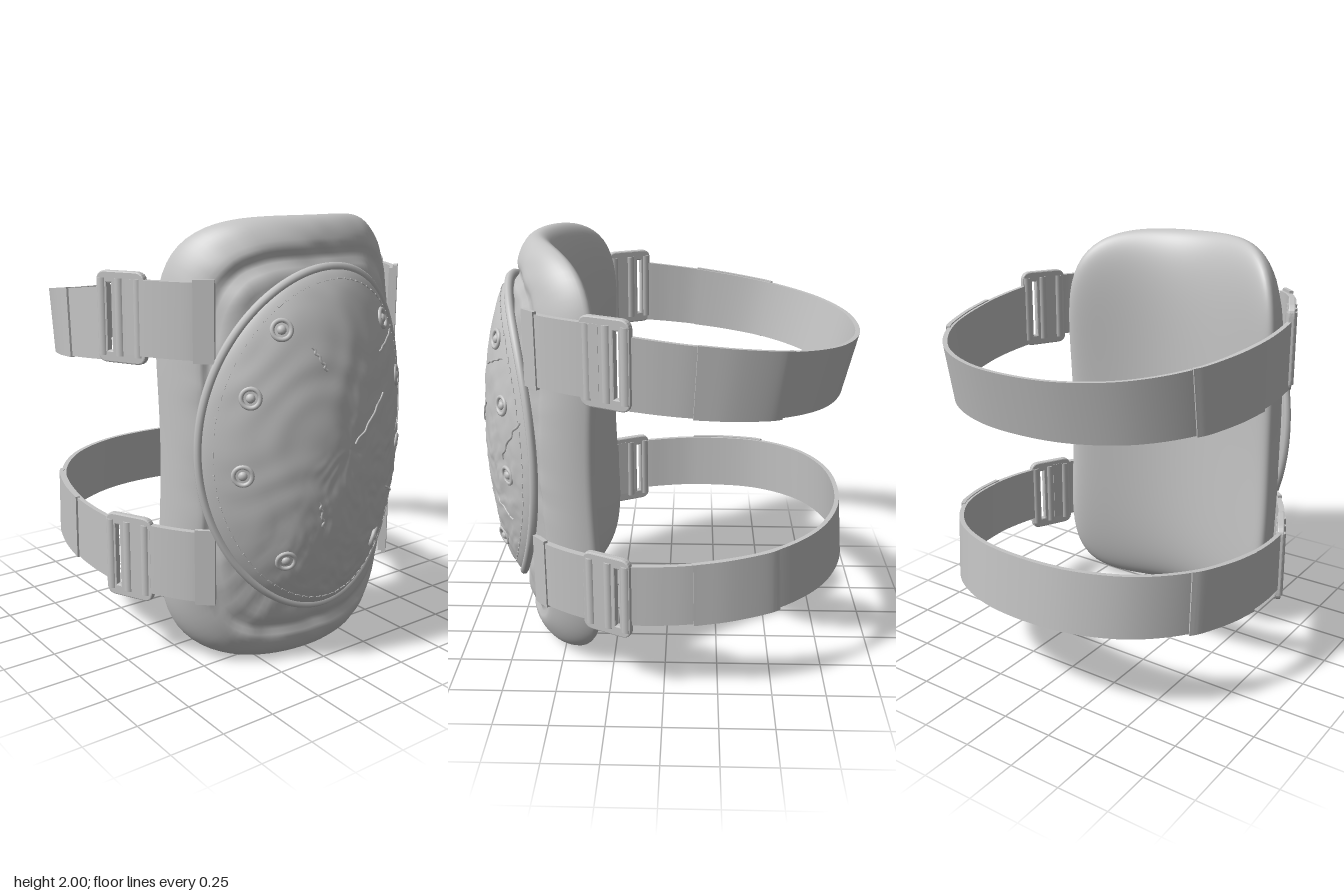
import * as THREE from 'three';
import { toCreasedNormals, mergeGeometries } from 'three/addons/utils/BufferGeometryUtils.js';

const grey = new THREE.MeshStandardMaterial({ color: 0xc4c4c4 });
grey.name = 'grey';

function part(name, geometry) {
  const mesh = new THREE.Mesh(geometry, grey);
  mesh.name = name;
  return mesh;
}

// Rows of points joined into a skin; each row is a closed ring
function skin(rows) {
  const m = rows[0].length, index = [];
  for (let i = 0; i < rows.length - 1; i++) {
    for (let j = 0; j < m; j++) {
      const k = (j + 1) % m, a = i * m, b = a + m;
      index.push(a + j, b + j, b + k, a + j, b + k, a + k);
    }
  }
  const geo = new THREE.BufferGeometry();
  geo.setAttribute('position', new THREE.Float32BufferAttribute(rows.flat(2), 3));
  geo.setIndex(index);
  geo.computeVertexNormals();
  return geo;
}

// Closed cushion: front centre -> rim -> back centre
function cushion(rings, around, outline, depth) {
  const rows = [];
  for (let i = 0; i <= rings; i++) {
    const phi = Math.PI * i / rings, r = Math.max(Math.sin(phi), 1e-4), row = [];
    for (let j = 0; j < around; j++) {
      const [x, y] = outline(2 * Math.PI * j / around, r);
      row.push([x, y, depth(x, y, r, phi <= Math.PI / 2)]);
    }
    rows.push(row);
  }
  return skin(rows);
}

// Upright band following [x, z] points; top and bottom come from span(z)
function band(points, thick, span, steps, lean = 0, offset = 0) {
  const curve = new THREE.CatmullRomCurve3(points.map(([x, z]) => new THREE.Vector3(x, 0, z)));
  const rows = [];
  for (let i = 0; i <= steps; i++) {
    const p = curve.getPoint(i / steps), t = curve.getTangent(i / steps);
    const [mid, half] = span(p.z), tilt = lean * Math.max(0, 0.1 - p.z);
    const ring = [[1, -1], [1, 1], [-1, 1], [-1, -1]].map(([o, v]) => {
      const d = offset + o * thick / 2;
      return [p.x - t.z * d, mid + v * half, p.z + t.x * d - tilt * v];
    });
    const centre = ring.map(() => [p.x - t.z * offset, mid, p.z + t.x * offset]);
    if (i === 0) rows.push(centre);
    rows.push(ring);
    if (i === steps) rows.push(centre);
  }
  return toCreasedNormals(skin(rows), 0.6);
}

const mirrored = pts => pts.map(([x, z]) => [-x, z]).reverse();
const wrinkle = (x, y) => Math.sin(11 * x + 5 * Math.sin(7 * y)) * Math.sin(13 * y + 4 * Math.sin(9 * x));

// Padded body: rounded oblong, slightly waisted, bowed around the knee
function padOutline(a, r) {
  const c = Math.cos(a), s = Math.sin(a);
  const k = r / (Math.abs(c) ** 4.2 + Math.abs(s) ** 4.2) ** (1 / 4.2);
  const v = k * s;
  return [k * c * (0.61 + 0.045 * v * v), 1 + v];
}
function padDepth(x, y, r, front) {
  const q = (x / 0.6) ** 2, v = y - 1;
  const mid = 0.595 - 0.235 * q - 0.07 * q * v * v;
  if (!front) return mid - 0.13 * Math.sqrt(Math.max(0, 1 - r ** 6));
  const groove = 0.028 * Math.exp(-(((r - 0.83) / 0.03) ** 2));
  return mid + (0.125 + 0.08 * q) * Math.sqrt(Math.max(0, 1 - r ** 8)) - groove
    + 0.008 * wrinkle(x, y) * (1 - r ** 8);
}

// Hard cap: oval dome
const capY = 1.035, capX = -0.01;
const capOutline = (a, r) => [capX + 0.565 * r * Math.cos(a), capY + 0.757 * r * Math.sin(a)];
const capRadius = (x, y) => Math.hypot((x - capX) / 0.565, (y - capY) / 0.757);
const capRim = x => 0.74 - 0.5 * x * x;
function capDepth(x, y, r = capRadius(x, y), front = true) {
  const q = Math.max(0, 1 - r * r);
  if (!front) return capRim(x) - 0.05 * q ** 0.5;
  const wear = Math.min(1, Math.max(0, 0.3 + 1.3 * x - 0.9 * (y - 1)));
  const dents = 0.003 * wrinkle(x, y) + 0.006 * wear * wrinkle(3.1 * x, 2.3 * y);
  return capRim(x) + 0.155 * q ** 0.65 + dents * Math.min(1, 4 * q);
}

// Places a geometry built along +z on the cap surface
function onCap(geo, x, y, spin = 0) {
  const e = 0.02;
  const normal = new THREE.Vector3(
    (capDepth(x - e, y) - capDepth(x + e, y)) / (2 * e),
    (capDepth(x, y - e) - capDepth(x, y + e)) / (2 * e), 1).normalize();
  const q = new THREE.Quaternion().setFromUnitVectors(new THREE.Vector3(0, 0, 1), normal);
  return geo.rotateZ(spin).applyQuaternion(q).translate(x, y, capDepth(x, y));
}

// Ladder buckle with one open slot
function buckleGeometry() {
  const w = 0.115, h = 0.19, c = 0.04, s = new THREE.Shape();
  s.moveTo(-w + c, -h); s.lineTo(w - c, -h); s.quadraticCurveTo(w, -h, w, -h + c);
  s.lineTo(w, h - c); s.quadraticCurveTo(w, h, w - c, h);
  s.lineTo(-w + c, h); s.quadraticCurveTo(-w, h, -w, h - c);
  s.lineTo(-w, -h + c); s.quadraticCurveTo(-w, -h, -w + c, -h);
  const slot = new THREE.Path();
  slot.moveTo(0.04, -0.15); slot.lineTo(0.04, 0.15);
  slot.lineTo(0.073, 0.15); slot.lineTo(0.073, -0.15);
  s.holes.push(slot);
  const frame = new THREE.ExtrudeGeometry(s, {
    depth: 0.02, bevelSize: 0.006, bevelThickness: 0.006, bevelSegments: 2, curveSegments: 6
  }).translate(0, 0, -0.01);
  const bars = [-0.085, 0.008, 0.096].map(x =>
    new THREE.CylinderGeometry(0.025, 0.025, 0.33, 12).translate(x, 0, 0).toNonIndexed());
  return mergeGeometries([frame, ...bars]);
}

export function createModel() {
  const model = new THREE.Group();
  model.name = 'kneePad';

  model.add(part('padding', cushion(72, 144, padOutline, padDepth)));

  // Cap with rolled rim
  model.add(part('hardCap', cushion(80, 144, capOutline, capDepth)));
  const rim = [];
  for (let i = 0; i < 64; i++) {
    const [x, y] = capOutline(i / 64 * Math.PI * 2, 1);
    rim.push(new THREE.Vector3(x, y, capRim(x)));
  }
  model.add(part('capRim', new THREE.TubeGeometry(new THREE.CatmullRomCurve3(rim, true), 160, 0.02, 8, true)));

  // Stitching inside the rim
  const stitches = [];
  for (let i = 0; i < 90; i++) {
    const a = i / 90 * Math.PI * 2, [x, y] = capOutline(a, 0.94);
    const spin = Math.atan2(0.757 * Math.cos(a), -0.565 * Math.sin(a));
    stitches.push(onCap(new THREE.BoxGeometry(0.026, 0.007, 0.006), x, y, spin));
  }
  model.add(part('capStitching', mergeGeometries(stitches)));

  // Rivets
  const rivets = [];
  for (const [x, y] of [[0.28, 1.555], [0.41, 1.28], [0.44, 0.95], [0.255, 0.55]]) {
    for (const s of [1, -1]) {
      rivets.push(onCap(new THREE.TorusGeometry(0.04, 0.01, 8, 24), s * x - 0.01, y));
      rivets.push(onCap(new THREE.SphereGeometry(0.02, 12, 8).scale(1, 1, 0.7), s * x - 0.01, y));
    }
  }
  model.add(part('rivets', mergeGeometries(rivets)));

  // Scratches
  const scratches = [[0.51, 1.24, 0.4, 1.02], [0.22, 1.24, 0.02, 1.05], [-0.18, 1.48, -0.12, 1.38],
    [0.2, 1.42, 0.36, 1.49], [0.3, 0.78, 0.42, 0.72], [-0.15, 0.82, -0.12, 0.69]];
  model.add(part('scratches', mergeGeometries(scratches.map(([x0, y0, x1, y1]) => {
    const pts = [];
    for (let i = 0; i <= 8; i++) {
      const x = x0 + (x1 - x0) * i / 8 + 0.006 * Math.sin(i * 2.4), y = y0 + (y1 - y0) * i / 8;
      pts.push(new THREE.Vector3(x, y, capDepth(x, y)));
    }
    return new THREE.TubeGeometry(new THREE.CatmullRomCurve3(pts), 24, 0.006, 5);
  }))));

  // Straps, with overlaps, pad tabs and buckles
  const half = [[0.765, 0.14], [0.776, 0], [0.77, -0.15], [0.685, -0.47], [0.5, -0.7], [0.26, -0.82]];
  const path = [...half, [0, -0.853], ...mirrored(half)];
  const overlap = [[0.771, -0.13], [0.745, -0.29], [0.685, -0.47], [0.66, -0.51]];
  const tab = [[0.5, 0.595], [0.565, 0.535], [0.615, 0.465], [0.665, 0.375], [0.715, 0.26]];
  const levels = [
    { name: 'upper', buckle: 1.58, z: 0.235, tab: 1.585, lean: 0.036, span: z => [1.533 + 0.113 * z, 0.155 + 0.02 * z] },
    { name: 'lower', buckle: 0.505, z: 0.25, tab: 0.515, lean: -0.012, span: z => [0.531 - 0.063 * z, 0.147] }
  ];
  const buckle = buckleGeometry();
  for (const l of levels) {
    model.add(part(l.name + 'Strap', band(path, 0.022, l.span, 96, l.lean)));
    for (const s of [1, -1]) {
      const side = s > 0 ? 'Left' : 'Right', pick = pts => (s > 0 ? pts : mirrored(pts));
      const wide = z => { const [m, h] = l.span(z); return [m, h + 0.005]; };
      model.add(part(l.name + 'Overlap' + side, band(pick(overlap), 0.02, wide, 16, l.lean, 0.012)));
      model.add(part(l.name + 'Tab' + side, band(pick(tab), 0.03, () => [l.tab, 0.16], 20)));
      model.add(part(l.name + 'TabHem' + side, band(pick(tab.slice(0, 2)), 0.02, () => [l.tab, 0.172], 6, 0, 0.012)));
      const b = part(l.name + 'Buckle' + side, buckle);
      const angle = Math.atan2(0.24, 0.115);
      b.position.set(s * 0.724, l.buckle, l.z);
      b.rotation.y = s > 0 ? angle : Math.PI - angle;
      model.add(b);
    }
  }
  return model;
}
